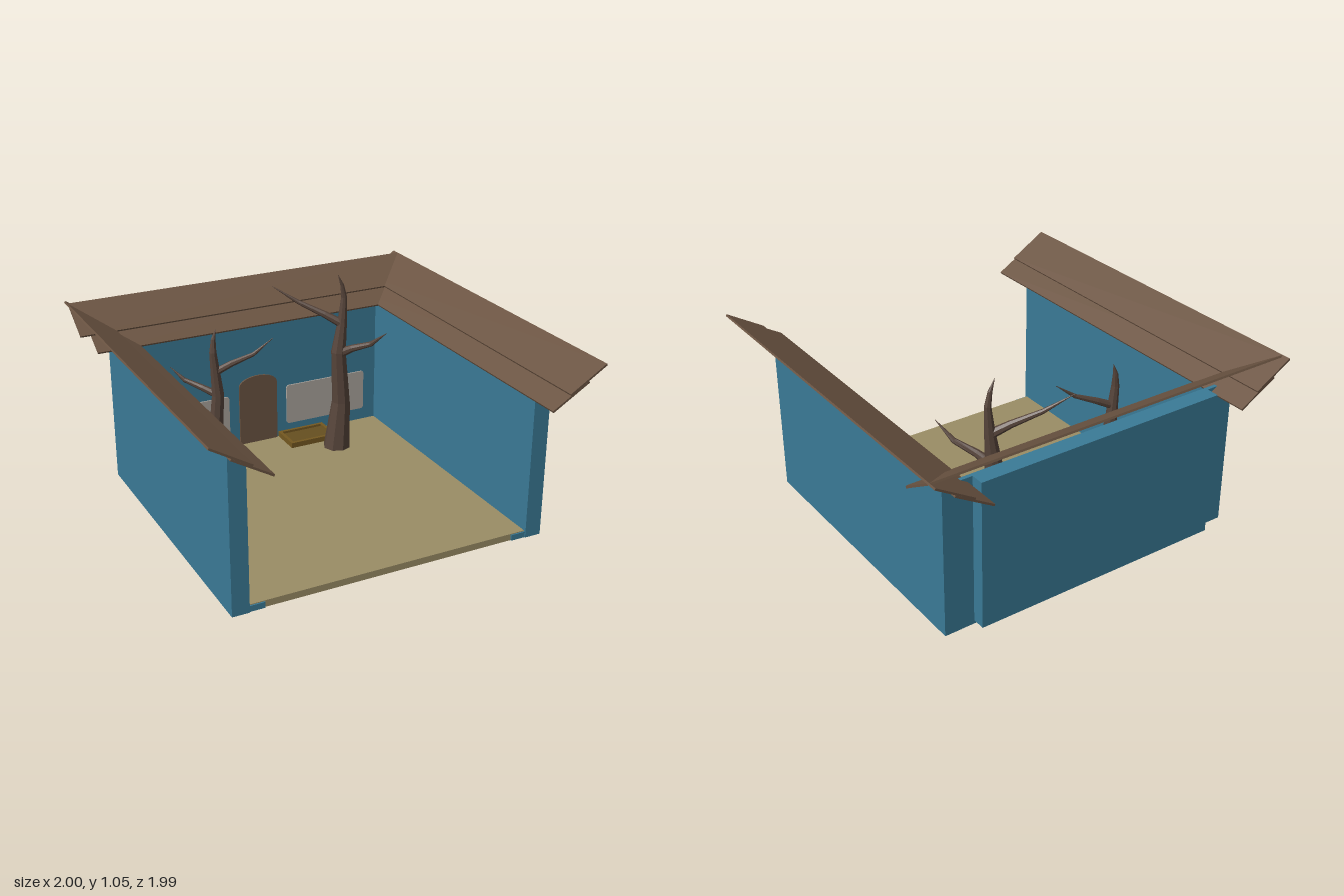
import * as THREE from 'three';

const mat = (name, color, flatShading = false) => {
  const m = new THREE.MeshStandardMaterial({ color, flatShading });
  m.name = name;
  return m;
};

export function createModel() {
  const root = new THREE.Group();
  root.name = 'courtyard';
  const blue = mat('wallBlue', 0x3a7a96);
  const sand = mat('floorSand', 0x9a8d65);
  const wood = mat('plankBrown', 0x6b5442);
  const bark = mat('barkBrown', 0x56443a, true);
  const ochre = mat('planterOchre', 0x745820);
  const soil = mat('planterSoil', 0x665020);
  const pale = mat('windowGrey', 0xaba59d);

  const add = (name, geometry, material, parent = root) => {
    const mesh = new THREE.Mesh(geometry, material);
    mesh.name = name;
    parent.add(mesh);
    return mesh;
  };
  // box given by its minimum and maximum corners
  const box = (name, material, x0, x1, y0, y1, z0, z1) => {
    const m = add(name, new THREE.BoxGeometry(x1 - x0, y1 - y0, z1 - z0), material);
    m.position.set((x0 + x1) / 2, (y0 + y1) / 2, (z0 + z1) / 2);
    return m;
  };

  // walls with a low lip along the foot of each side
  for (const s of [-1, 1]) {
    const side = s > 0 ? 'left' : 'right';
    box(side + 'Wall', blue, Math.min(s * 0.75, s * 0.838), Math.max(s * 0.75, s * 0.838), 0, 0.8, -0.79, 0.79);
    box(side + 'Lip', blue, Math.min(s * 0.67, s * 0.75), Math.max(s * 0.67, s * 0.75), 0, 0.031, -0.789, 0.785);
  }
  box('backWall', blue, -0.75, 0.75, 0.02, 0.8, -0.79, -0.77);
  box('backPanel', blue, -0.68, 0.68, 0.02, 0.8, -0.858, -0.79);

  // floor
  box('floorSlab', sand, -0.67, 0.67, 0, 0.031, -0.789, 0.778);
  box('floorTop', sand, -0.75, 0.75, 0.031, 0.035, -0.77, 0.778);

  // roof planks: a sloping profile in (outward distance, height) run along a length
  const plank = (name, outer, inner, length, parent) => {
    const t = 0.009;
    const shape = new THREE.Shape();
    shape.moveTo(outer[0], outer[1]);
    shape.lineTo(inner[0], inner[1]);
    shape.lineTo(inner[0] + t * 0.5, inner[1] - t);
    shape.lineTo(outer[0] + t * 0.5, outer[1] - t);
    const g = new THREE.ExtrudeGeometry(shape, { depth: length, bevelEnabled: false });
    g.translate(0, 0, -length / 2);
    return add(name, g, wood, parent);
  };
  const roof = (name, angle, lengths, shift) => {
    const g = new THREE.Group();
    g.name = name;
    plank('upperPlank', [0.995, 0.963], [0.8, 0.845], lengths[0], g);
    plank('lowerPlank', [0.9, 0.893], [0.705, 0.778], lengths[1], g);
    g.rotation.y = angle;
    g.position.z = shift;
    root.add(g);
  };
  roof('leftRoof', 0, [1.985, 1.985], -0.005);
  roof('rightRoof', Math.PI, [1.985, 1.985], -0.005);
  roof('backRoof', Math.PI / 2, [1.985, 1.87], 0.043);

  // arched door
  const door = new THREE.Shape();
  door.moveTo(-0.115, 0.035);
  door.lineTo(0.115, 0.035);
  door.lineTo(0.115, 0.385);
  door.absellipse(0, 0.385, 0.115, 0.055, 0, Math.PI, false);
  door.lineTo(-0.115, 0.035);
  add('door', new THREE.ExtrudeGeometry(door, { depth: 0.009, bevelEnabled: false }), wood).position.z = -0.77;

  // rounded window panes
  const pane = new THREE.Shape();
  const w = 0.248, h = 0.118, r = 0.015;
  pane.absarc(w - r, h - r, r, 0, Math.PI / 2);
  pane.absarc(-w + r, h - r, r, Math.PI / 2, Math.PI);
  pane.absarc(-w + r, -h + r, r, Math.PI, Math.PI * 1.5);
  pane.absarc(w - r, -h + r, r, Math.PI * 1.5, Math.PI * 2);
  const paneGeo = new THREE.ExtrudeGeometry(pane, { depth: 0.008, bevelEnabled: false });
  for (const s of [-1, 1]) add(s > 0 ? 'leftWindow' : 'rightWindow', paneGeo, pale).position.set(s * 0.425, 0.225, -0.77);

  // planters: open frame with soil
  const rect = (P, a, b) => new P([[-a, -b], [a, -b], [a, b], [-a, b]].map(p => new THREE.Vector2(...p)));
  const frame = rect(THREE.Shape, 0.14, 0.09);
  frame.holes.push(rect(THREE.Path, 0.122, 0.072));
  const frameGeo = new THREE.ExtrudeGeometry(frame, { depth: 0.03, bevelEnabled: false });
  frameGeo.rotateX(-Math.PI / 2);
  for (const s of [-1, 1]) {
    const x = s * 0.265;
    add(s > 0 ? 'leftPlanter' : 'rightPlanter', frameGeo, ochre).position.set(x, 0.035, -0.68);
    box('planterSoil', soil, x - 0.122, x + 0.122, 0.035, 0.052, -0.752, -0.608);
  }

  // tapering limb through rings [x, y, z, radius]
  const limb = (name, rings, parent) => {
    const n = 8, pos = [], idx = [];
    const pts = rings.map(q => new THREE.Vector3(q[0], q[1], q[2]));
    const last = rings.length - 1;
    const ref = new THREE.Vector3(0, 0, 1);
    rings.forEach((q, i) => {
      const dir = i === 0 && q[1] < 0.1 ? new THREE.Vector3(0, 1, 0)
        : pts[Math.min(i + 1, last)].clone().sub(pts[Math.max(i - 1, 0)]).normalize();
      const u = new THREE.Vector3().crossVectors(ref, dir).normalize();
      const v = new THREE.Vector3().crossVectors(dir, u);
      for (let k = 0; k < n; k++) {
        const a = (k / n) * Math.PI * 2;
        const p = pts[i].clone().addScaledVector(u, Math.cos(a) * q[3]).addScaledVector(v, Math.sin(a) * q[3]);
        pos.push(p.x, p.y, p.z);
      }
    });
    for (let i = 0; i < last; i++) for (let k = 0; k < n; k++) {
      const a = i * n + k, b = i * n + (k + 1) % n;
      idx.push(a, b, b + n, a, b + n, a + n);
    }
    const g = new THREE.BufferGeometry();
    g.setAttribute('position', new THREE.Float32BufferAttribute(pos, 3));
    g.setIndex(idx);
    g.computeVertexNormals();
    add(name, g, bark, parent);
  };
  const tree = (name, trunk, branches) => {
    const g = new THREE.Group();
    g.name = name;
    limb('trunk', trunk, g);
    branches.forEach(b => limb('branch', b, g));
    root.add(g);
  };

  tree('rightTree', [
    [-0.372, 0.035, -0.44, 0.062], [-0.392, 0.28, -0.445, 0.041], [-0.373, 0.52, -0.44, 0.034],
    [-0.392, 0.76, -0.445, 0.02], [-0.385, 0.83, -0.45, 0.013], [-0.37, 0.885, -0.45, 0.001],
  ], [
    [[-0.375, 0.52, -0.44, 0.022], [-0.44, 0.555, -0.49, 0.017], [-0.515, 0.59, -0.55, 0.012], [-0.572, 0.655, -0.6, 0.001]],
    [[-0.38, 0.65, -0.44, 0.02], [-0.3, 0.69, -0.42, 0.017], [-0.19, 0.735, -0.385, 0.011], [-0.085, 0.815, -0.365, 0.001]],
  ]);
  tree('leftTree', [
    [0.368, 0.035, -0.51, 0.077], [0.39, 0.31, -0.505, 0.052], [0.37, 0.61, -0.5, 0.042],
    [0.392, 0.78, -0.5, 0.027], [0.403, 0.92, -0.5, 0.017], [0.39, 0.99, -0.5, 0.011], [0.365, 1.05, -0.5, 0.001],
  ], [
    [[0.39, 0.77, -0.5, 0.025], [0.31, 0.82, -0.55, 0.019], [0.19, 0.885, -0.63, 0.012], [0.07, 0.97, -0.705, 0.001]],
    [[0.375, 0.6, -0.5, 0.028], [0.42, 0.645, -0.43, 0.02], [0.485, 0.69, -0.34, 0.014], [0.53, 0.775, -0.25, 0.001]],
  ]);

  return root;
}
